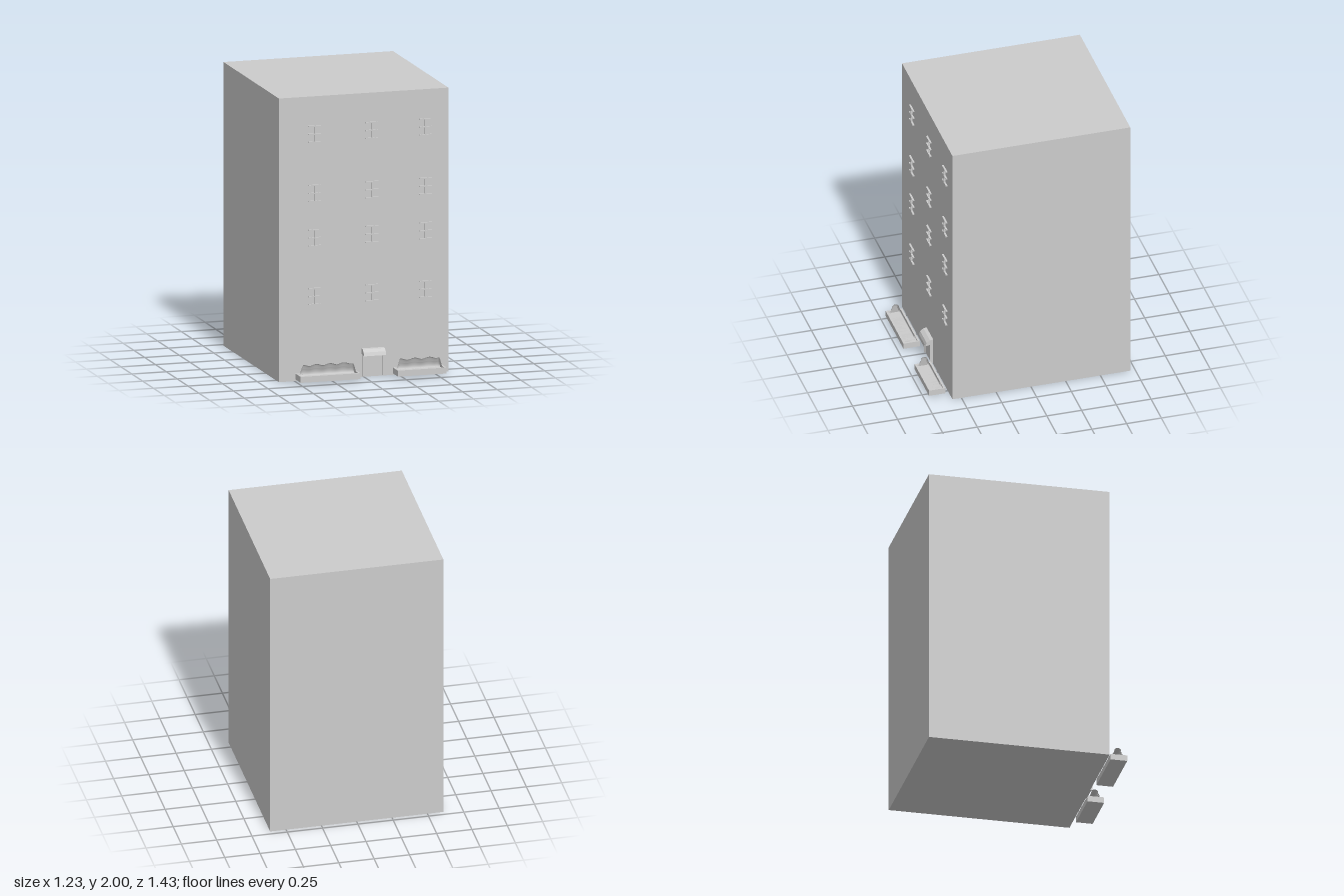
import * as THREE from 'three';

const mat = new THREE.MeshStandardMaterial({ color: 0xcccccc });

// Box given by its min and max corners
function box(name, parent, x0, x1, y0, y1, z0, z1) {
  const m = new THREE.Mesh(new THREE.BoxGeometry(x1 - x0, y1 - y0, z1 - z0), mat);
  m.name = name;
  m.position.set((x0 + x1) / 2, (y0 + y1) / 2, (z0 + z1) / 2);
  parent.add(m);
  return m;
}

function group(name, parent) {
  const g = new THREE.Group();
  g.name = name;
  parent.add(g);
  return g;
}

const WALL = 0.565;

// Window: three rails and a central mullion
function addWindow(parent, cx, y0) {
  const g = group('window', parent);
  const w = 0.045, h = 0.12, t = 0.008;
  for (const y of [y0, y0 + h / 2 - t / 2, y0 + h - t])
    box('windowRail', g, cx - w, cx + w, y, y + t, WALL - 0.005, WALL + 0.013);
  box('windowMullion', g, cx - 0.004, cx + 0.004, y0, y0 + h, WALL - 0.005, WALL + 0.012);
}

// Clipped hedge: one tapered cross-section swept along x with a wavy top
function hedgeGeometry(x0, x1, y0, zc, bumps) {
  const profile = [[0.038, 0], [0.035, 0.3], [0.03, 0.56], [0.024, 0.62], [0.022, 0.85], [0.012, 0.97], [0, 1]];
  const ring = [...profile, ...profile.slice(0, -1).reverse().map(([z, y]) => [-z, y])];
  const n = ring.length, steps = 48, pos = [], idx = [];
  for (let i = 0; i <= steps; i++) {
    const t = i / steps;
    const end = Math.min(1, Math.min(t, 1 - t) / 0.06);
    const height = 0.05 + 0.014 * Math.sqrt(end) + 0.005 * Math.sin(t * bumps * Math.PI * 2 + 0.4) * end;
    const width = 0.75 + 0.25 * end;
    for (const [z, y] of ring) {
      const taper = 0.012 * y * (1 - 2 * t) * (1 - end);
      pos.push(x0 + (x1 - x0) * t + taper, y0 + y * height, zc + z * width);
    }
  }
  for (let i = 0; i < steps; i++)
    for (let j = 0; j < n; j++) {
      const a = i * n + j, b = i * n + (j + 1) % n, c = a + n, d = b + n;
      idx.push(a, b, c, b, d, c);
    }
  // End caps get their own vertices so their edges stay sharp
  for (const [s, flip] of [[0, false], [steps, true]]) {
    const base = pos.length / 3;
    pos.push(...pos.slice(s * n * 3, (s + 1) * n * 3));
    for (let j = 1; j < n - 1; j++)
      idx.push(base, base + (flip ? j : j + 1), base + (flip ? j + 1 : j));
  }
  const g = new THREE.BufferGeometry();
  g.setAttribute('position', new THREE.Float32BufferAttribute(pos, 3));
  g.setIndex(idx);
  g.computeVertexNormals();
  return g;
}

// Planter trough with rim, soil and hedge
function addPlanter(parent, x0, x1, bumps) {
  const g = group('planter', parent);
  const z0 = 0.597, z1 = 0.715, r = 0.014, yb = 0.018, yt = 0.06;
  box('planterFront', g, x0, x1, yb, yt, z1 - r, z1);
  box('planterBack', g, x0, x1, yb, yt, z0, z0 + r);
  box('planterEnd', g, x0, x0 + r, yb, yt, z0 + r, z1 - r);
  box('planterEnd', g, x1 - r, x1, yb, yt, z0 + r, z1 - r);
  box('soil', g, x0 + r, x1 - r, yb, yt - 0.01, z0 + r, z1 - r);
  const hedge = new THREE.Mesh(hedgeGeometry(x0 + 0.018, x1 - 0.02, yt - 0.01, 0.658, bumps), mat);
  hedge.scale.y = 1.18;
  hedge.position.y = -0.18 * (yt - 0.01);
  hedge.name = 'hedge';
  g.add(hedge);
}

// Doorway with jambs, recessed door and curved canopy
function addEntrance(parent) {
  const g = group('entrance', parent);
  box('doorJamb', g, -0.01, 0, 0.005, 0.165, WALL - 0.005, 0.585);
  box('doorJamb', g, 0.13, 0.14, 0.005, 0.165, WALL - 0.005, 0.585);
  box('doorLintel', g, 0, 0.13, 0.155, 0.165, WALL - 0.005, 0.585);
  box('door', g, 0, 0.13, 0.008, 0.155, WALL - 0.005, 0.577);

  // Profile drawn as (z, y), extruded sideways
  const s = new THREE.Shape([[0.56, 0.16], [0.585, 0.16], [0.62, 0.155], [0.612, 0.18], [0.588, 0.198], [0.56, 0.202]]
    .map(([z, y]) => new THREE.Vector2(z, y)));
  const geo = new THREE.ExtrudeGeometry(s, { depth: 0.16, bevelEnabled: false });
  geo.rotateY(-Math.PI / 2); // z profile axis now points to +z, depth to -x
  const canopy = new THREE.Mesh(geo, mat);
  canopy.name = 'canopy';
  canopy.position.x = 0.145;
  g.add(canopy);
}

export function createModel() {
  const model = new THREE.Group();
  model.name = 'apartmentBlock';
  box('building', model, -0.613, 0.613, 0, 2, -0.715, WALL);

  const windows = group('windows', model);
  for (const y of [0.53, 0.943, 1.257, 1.675])
    for (const x of [-0.357, 0.058, 0.445]) addWindow(windows, x, y);

  addEntrance(model);
  addPlanter(model, -0.503, -0.07, 4);
  addPlanter(model, 0.2, 0.552, 3);
  return model;
}
